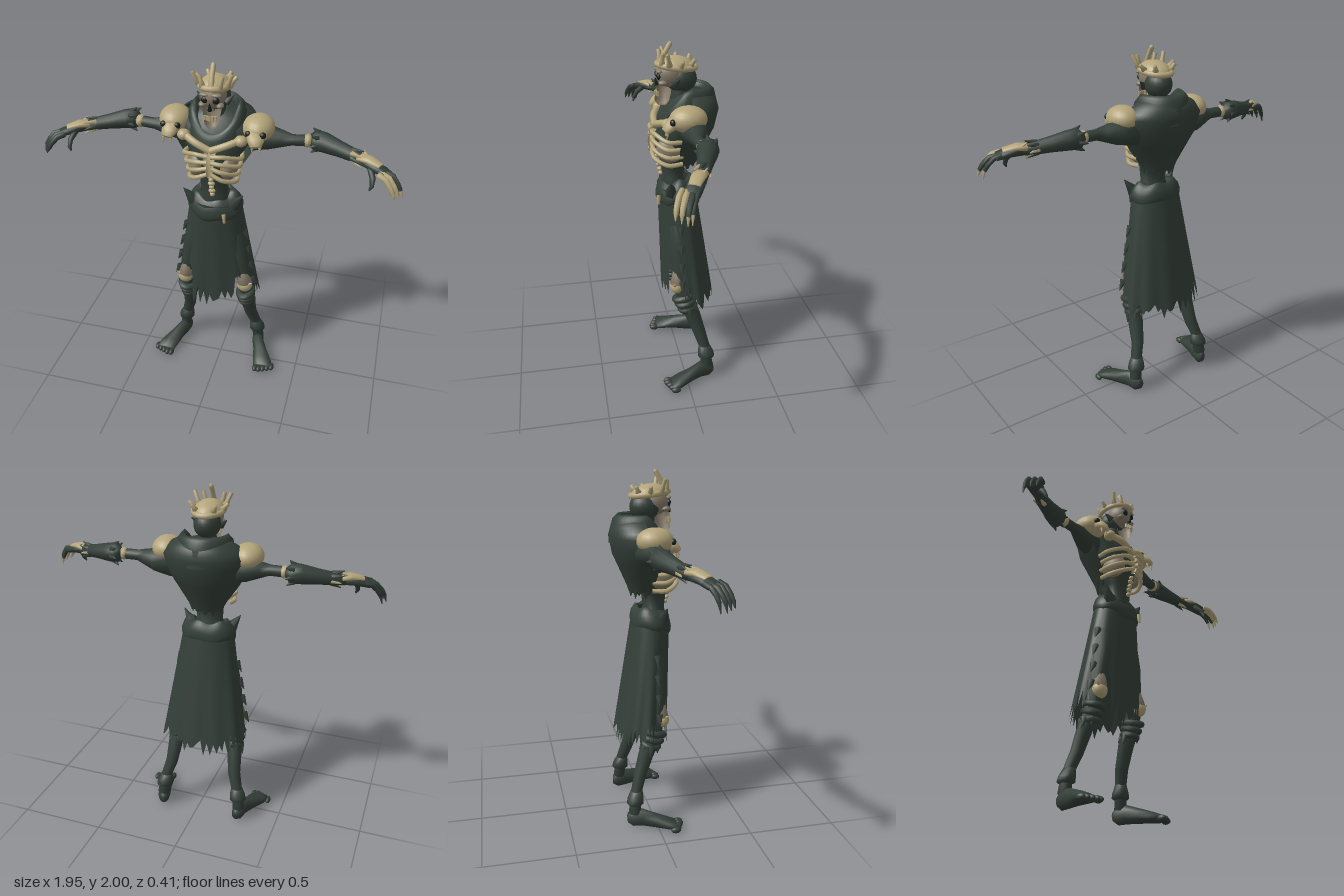
import * as THREE from 'three';
import { mergeVertices } from 'three/addons/utils/BufferGeometryUtils.js';

const mat = (name, color, side = THREE.FrontSide) => {
  const m = new THREE.MeshStandardMaterial({ color, side });
  m.name = name;
  return m;
};
const V = (x, y, z) => new THREE.Vector3(x, y, z);

export function createModel() {
  const cloth = mat('dark cloth', 0x343f38, THREE.DoubleSide);
  const bone = mat('bone', 0xb3a47a);
  const skullGrey = mat('grey bone', 0x867b69);
  const black = mat('socket black', 0x1a201c);

  const model = new THREE.Group();
  const body = new THREE.Group();
  body.name = 'body';
  body.position.x = -0.025;
  model.add(body);

  let seed = 7;
  const rnd = () => (seed = (seed * 16807) % 2147483647) / 2147483647;

  const add = (parent, name, geo, material) => {
    const m = new THREE.Mesh(geo, material);
    m.name = name;
    parent.add(m);
    return m;
  };
  const build = (pos, idx) => {
    let g = new THREE.BufferGeometry();
    g.setAttribute('position', new THREE.Float32BufferAttribute(pos, 3));
    g.setIndex(idx);
    g = mergeVertices(g, 1e-4);
    g.computeVertexNormals();
    return g;
  };
  // Tapered body through sections [x, y, z, r1, r2]; axis fixes the ring direction
  const limb = (parent, name, pts, material, axis = null, n = 12) => {
    const c = pts.map(p => V(p[0], p[1], p[2]));
    const whole = c[c.length - 1].clone().sub(c[0]).normalize();
    const ref = Math.abs(whole.z) > 0.75 ? V(0, 1, 0) : V(0, 0, 1);
    const pos = [], idx = [];
    c.forEach((p, i) => {
      const t = axis ? axis.clone()
        : c[Math.min(i + 1, c.length - 1)].clone().sub(c[Math.max(i - 1, 0)]).normalize();
      const side = ref.clone().cross(t).normalize(), up = t.clone().cross(side);
      const [r1, r2 = r1] = pts[i].slice(3);
      for (let j = 0; j < n; j++) {
        const a = j / n * Math.PI * 2;
        const q = p.clone().addScaledVector(side, r1 * Math.cos(a)).addScaledVector(up, r2 * Math.sin(a));
        pos.push(q.x, q.y, q.z);
        const k = i * n + j, k1 = i * n + (j + 1) % n;
        if (i < c.length - 1) idx.push(k, k1, k + n, k1, k1 + n, k + n);
      }
    });
    const s = pos.length / 3, last = (c.length - 1) * n;
    pos.push(...c[0].toArray(), ...c[c.length - 1].toArray());
    for (let j = 0; j < n; j++) {
      const j1 = (j + 1) % n;
      idx.push(s, j1, j, s + 1, last + j, last + j1);
    }
    return add(parent, name, build(pos, idx), material);
  };
  const spike = (parent, name, a, b, r, material) =>
    limb(parent, name, [[...a, r], [...b, 0.002]], material, null, 6);
  const ball = (parent, name, p, r, material) => {
    const m = add(parent, name, new THREE.SphereGeometry(1, 20, 14), material);
    m.position.set(...p);
    m.scale.set(...r);
    return m;
  };
  const tube = (parent, name, pts, r, material) => add(parent, name,
    new THREE.TubeGeometry(new THREE.CatmullRomCurve3(pts.map(p => V(...p))), 14, r, 8), material);
  // Cloth sheet from a rule f(u, v)
  const sheet = (parent, name, nu, nv, f) => {
    const pos = [], idx = [];
    for (let i = 0; i <= nv; i++) for (let j = 0; j <= nu; j++) {
      pos.push(...f(j / nu, i / nv));
      const k = i * (nu + 1) + j;
      if (i < nv && j < nu) idx.push(k, k + nu + 1, k + 1, k + 1, k + nu + 1, k + nu + 2);
    }
    return add(parent, name, build(pos, idx), cloth);
  };
  const lerpRows = (rows, v) => {
    const x = v * (rows.length - 1), i = Math.min(Math.floor(x), rows.length - 2);
    return rows[i].map((a, k) => a + (rows[i + 1][k] - a) * (x - i));
  };
  const up = V(0, 1, 0);

  // Torso and neck
  limb(body, 'torso', [[0, 1.12, 0.02, 0.12, 0.09], [0, 1.25, 0.035, 0.075, 0.06], [0, 1.33, 0.035, 0.08, 0.07],
    [0, 1.42, 0.025, 0.125, 0.105], [0, 1.5, 0, 0.15, 0.13], [0, 1.58, -0.03, 0.2, 0.14],
    [0, 1.65, -0.05, 0.22, 0.13], [0, 1.7, -0.07, 0.16, 0.11], [0, 1.74, -0.07, 0.08, 0.06]], cloth, up, 24);
  limb(body, 'neck', [[0, 1.6, -0.01, 0.06], [0, 1.8, -0.01, 0.045]], cloth, up);

  // Cape over the back: rows of [y, half width, back z, side z]
  const capeRows = [[1.76, 0.1, -0.15, -0.06], [1.71, 0.19, -0.2, -0.05], [1.65, 0.24, -0.215, -0.03], [1.55, 0.225, -0.195, 0],
    [1.45, 0.165, -0.15, 0.01], [1.37, 0.11, -0.115, 0], [1.32, 0.085, -0.1, -0.01]];
  const capeHem = Array.from({ length: 25 }, () => rnd() * 0.05);
  sheet(body, 'cape', 24, 12, (u, v) => {
    const [y, w, zb, zs] = lerpRows(capeRows, v), a = (u - 0.5) * Math.PI * 1.05;
    return [-w * Math.sin(a), y + (v === 1 ? capeHem[Math.round(u * 24)] - 0.02 : 0), zs + (zb - zs) * Math.cos(a)];
  });

  // Cowl: rows of [radius, height]
  const cowlRows = [[0.085, -0.1], [0.1, -0.01], [0.122, 0.025], [0.145, 0.0], [0.16, -0.07], [0.165, -0.13]];
  sheet(body, 'cowl', 36, 10, (u, v) => {
    const a = u * Math.PI * 2 - Math.PI, [r, h] = lerpRows(cowlRows, v), f = Math.max(0, Math.cos(a));
    return [r * Math.sin(a), 1.745 - 0.13 * f ** 1.4 + h * (1 - 0.4 * f), -0.03 + r * Math.cos(a) * (f > 0 ? 0.95 : 1.12)];
  });

  // Head
  ball(body, 'backOfHead', [0, 1.805, -0.015], [0.073, 0.075, 0.085], cloth);
  ball(body, 'skull', [0, 1.835, 0.045], [0.068, 0.075, 0.078], skullGrey);
  limb(body, 'jaw', [[0, 1.8, 0.075, 0.056, 0.045], [0, 1.74, 0.083, 0.046, 0.045],
    [0, 1.69, 0.09, 0.036, 0.04], [0, 1.668, 0.09, 0.02, 0.025]], skullGrey, up);
  spike(body, 'nose', [0, 1.775, 0.118], [0, 1.815, 0.126], 0.013, black);
  for (let i = -2; i <= 2; i++) {
    add(body, 'tooth', new THREE.BoxGeometry(0.011, 0.024, 0.01), bone)
      .position.set(i * 0.014, 1.733, 0.127 - Math.abs(i) * 0.005);
  }
  for (const s of [-1, 1]) {
    ball(body, 'eyeSocket', [s * 0.029, 1.828, 0.112], [0.019, 0.018, 0.012], black);
    ball(body, 'cheekbone', [s * 0.047, 1.795, 0.092], [0.02, 0.014, 0.024], skullGrey);
    ball(body, 'brow', [s * 0.03, 1.855, 0.108], [0.028, 0.01, 0.016], skullGrey);
    spike(body, 'ear', [s * 0.06, 1.79, 0.03], [s * 0.1, 1.825, 0.01], 0.022, cloth);
  }

  // Bone crown
  const cap = add(body, 'crownCap', new THREE.SphereGeometry(1, 24, 10, 0, Math.PI * 2, 0, Math.PI / 2), bone);
  cap.position.set(0, 1.865, 0.012);
  cap.scale.set(0.082, 0.062, 0.105);
  cap.rotation.x = -0.12;
  const band = add(body, 'crownBand', new THREE.TorusGeometry(1, 0.16, 8, 28), bone);
  band.position.set(0, 1.875, 0.012);
  band.scale.set(0.082, 0.103, 0.1);
  band.rotation.x = Math.PI / 2 - 0.12;
  limb(body, 'crownPeak', [[0, 1.88, 0.1, 0.02], [0, 1.94, 0.075, 0.013], [0, 1.99, 0.045, 0.014], [0, 2, 0.04, 0.008]], bone);
  for (const s of [-1, 1]) {
    for (const [x, y, z, tx, ty, tz] of [[0.045, 1.89, 0.095, 0.06, 1.95, 0.095], [0.075, 1.89, 0.06, 0.103, 1.955, 0.075],
      [0.08, 1.885, 0, 0.11, 1.915, -0.005], [0.05, 1.885, -0.06, 0.065, 1.915, -0.075]]) {
      limb(body, 'crownProng', [[s * x, y, z, 0.018], [s * (x + tx) / 2, (y + ty) / 2, (z + tz) / 2, 0.011],
        [s * tx, ty, tz, 0.011]], bone, null, 8);
    }
  }

  // Ribcage
  limb(body, 'sternum', [[0, 1.565, 0.115, 0.035, 0.012], [0, 1.52, 0.147, 0.032, 0.016], [0, 1.46, 0.157, 0.025, 0.016],
    [0, 1.4, 0.145, 0.012, 0.012]], bone, up);
  for (const s of [-1, 1]) {
    ball(body, 'flank', [s * 0.085, 1.435, 0.06], [0.052, 0.075, 0.08], skullGrey);
    tube(body, 'collarBone', [[0, 1.55, 0.13], [s * 0.08, 1.585, 0.125], [s * 0.17, 1.615, 0.075]], 0.02, bone);
    ball(body, 'collarKnob', [s * 0.155, 1.605, 0.085], [0.035, 0.03, 0.035], bone);
    for (let i = 0; i < 4; i++) {
      const y = 1.525 - i * 0.035, w = 0.155 - i * 0.008;
      tube(body, 'rib', [[s * 0.01, y, 0.152], [s * 0.075, y + 0.005 - i * 0.012, 0.148],
        [s * w, y - 0.025 - i * 0.012, 0.08], [s * (w - 0.01), y - 0.03 - i * 0.01, 0]], 0.0125, bone);
    }
  }
  for (let i = 0; i < 5; i++) {
    ball(body, 'hangingBead', [0.005, 1.375 - i * 0.026, 0.128 - i * 0.006], [0.014 + (i % 2) * 0.006, 0.013, 0.014], bone);
  }

  // Shoulder skulls
  for (const s of [-1, 1]) {
    ball(body, 'shoulderSkull', [s * 0.228, 1.65, -0.01], [0.086, 0.07, 0.1], bone);
    limb(body, 'skullSnout', [[s * 0.225, 1.645, 0.05, 0.055, 0.04], [s * 0.235, 1.615, 0.095, 0.042, 0.028],
      [s * 0.24, 1.595, 0.115, 0.03, 0.018]], bone);
    for (const k of [-1, 1]) {
      ball(body, 'skullSocket', [s * 0.23 + k * 0.037, 1.648, 0.077], [0.019, 0.018, 0.016], black);
      spike(body, 'skullFang', [s * 0.24 + k * 0.02, 1.59, 0.105], [s * 0.24 + k * 0.022, 1.56, 0.108], 0.009, bone);
    }
  }

  // Arms and hands
  for (const s of [-1, 1]) {
    const arm = new THREE.Group();
    arm.name = s > 0 ? 'leftArm' : 'rightArm';
    model.add(arm);
    const side = pts => pts.map(([x, ...r]) => [s * x, ...r]);
    limb(arm, 'upperArm', side([[0.16, 1.58, -0.04, 0.08], [0.26, 1.585, -0.04, 0.065], [0.33, 1.59, -0.03, 0.045],
      [0.38, 1.592, -0.025, 0.03], [0.49, 1.595, -0.035, 0.03]]), cloth);
    limb(arm, 'elbowBone', side([[0.44, 1.595, -0.03, 0.026], [0.46, 1.595, -0.032, 0.036], [0.48, 1.595, -0.035, 0.03]]), bone);
    limb(arm, 'forearm', side([[0.475, 1.598, -0.04, 0.032], [0.5, 1.597, -0.045, 0.056], [0.55, 1.594, -0.035, 0.053],
      [0.63, 1.582, -0.008, 0.042], [0.71, 1.57, 0.02, 0.035], [0.78, 1.56, 0.055, 0.027]]), cloth);
    for (let i = 0; i < 7; i++) {
      const a = i / 7 * Math.PI * 2, c = Math.cos(a), d = Math.sin(a);
      spike(arm, 'sleeveTatter', [s * 0.515, 1.597 + 0.043 * c, -0.043 + 0.043 * d],
        [s * (0.475 + rnd() * 0.015), 1.597 + 0.068 * c, -0.045 + 0.066 * d], 0.018, cloth);
      spike(arm, 'cuffTatter', [s * 0.7, 1.572 + 0.025 * c, 0.017 + 0.025 * d],
        [s * (0.745 + rnd() * 0.02), 1.565 + 0.045 * c, 0.04 + 0.045 * d], 0.016, i % 2 ? bone : cloth);
    }
    limb(arm, 'palm', side([[0.76, 1.562, 0.045, 0.027, 0.03], [0.82, 1.555, 0.078, 0.026, 0.042],
      [0.88, 1.535, 0.108, 0.02, 0.04]]), cloth);
    limb(arm, 'handBone', side([[0.74, 1.575, 0.035, 0.02, 0.035], [0.79, 1.578, 0.062, 0.02, 0.036],
      [0.85, 1.565, 0.092, 0.012, 0.028]]), bone);
    spike(arm, 'wristSpur', [s * 0.78, 1.575, 0.045], [s * 0.755, 1.605, 0.01], 0.016, bone);
    for (let i = 0; i < 4; i++) {
      const z = 0.07 + i * 0.024, e = 0.975 - Math.abs(i - 1) * 0.018, m = [s * (e - 0.03), 1.5, z + 0.038];
      limb(arm, 'finger', [[s * (0.862 - i * 0.006), 1.545, z, 0.016], [s * (e - 0.058), 1.532, z + 0.022, 0.015], [...m, 0.013],
        [s * (e - 0.012), 1.47, z + 0.046, 0.011]], s > 0 && i > 1 ? bone : cloth, null, 8);
      spike(arm, 'claw', [s * (e - 0.014), 1.475, z + 0.045], [s * e, 1.425 + i * 0.006, z + 0.05], 0.011, s > 0 ? bone : cloth);
    }
    limb(arm, 'thumb', side([[0.8, 1.55, 0.09, 0.017], [0.82, 1.51, 0.13, 0.015], [0.82, 1.475, 0.15, 0.011],
      [0.81, 1.455, 0.155, 0.004]]), cloth, null, 8);
  }

  // Skirt with a ragged hem, open above the knees
  const N = 80, hem = Array.from({ length: N + 1 }, (_, j) => {
    const a = Math.abs(j / N * 2 - 1) * Math.PI;
    const base = a < 0.55 ? 0.5 : a < 1.2 ? 0.72 : a < 1.7 ? 0.55 : 0.5;
    return base + (j % 2 ? 0.06 : 0) + (rnd() - 0.6) * 0.1;
  });
  hem[N] = hem[0];
  sheet(body, 'skirt', N, 14, (u, v) => {
    const a = (u * 2 - 1) * Math.PI, y = 1.2 + (hem[Math.round(u * N)] - 1.2) * v, t = (1.2 - y) / 0.65;
    const zf = 0.122 - 0.018 * t, zb = -0.09 - 0.098 * t, k = 1 + 0.025 * t * Math.sin(a * 11);
    return [(0.145 + 0.105 * t) * Math.sin(a) * k, y, (zf + zb) / 2 + (zf - zb) / 2 * Math.cos(a) * k];
  });
  // Rolled sash: rows of [y, half width, half depth]
  const sashRows = [[1.25, 0.085, 0.07], [1.255, 0.115, 0.085], [1.22, 0.145, 0.108], [1.18, 0.16, 0.116], [1.15, 0.157, 0.113], [1.13, 0.14, 0.1]];
  sheet(body, 'sash', 40, 10, (u, v) => {
    const a = (u * 2 - 1) * Math.PI, [y, w, d] = lerpRows(sashRows, v);
    return [w * Math.sin(a), y - 0.035 * Math.max(0, Math.cos(a)) + 0.008 * Math.sin(a * 5), 0.017 + d * Math.cos(a)];
  });
  for (const s of [-1, 1]) {
    spike(body, 'sashFlap', [s * 0.115, 1.19, 0.06], [s * 0.17, 1.268, 0.075], 0.04, cloth);
    for (let i = 0; i < 4; i++) {
      const y = 1 - i * 0.11, x = 0.17 + i * 0.018;
      spike(body, 'skirtTatter', [s * x, y, 0.02], [s * (x + 0.03), y - 0.06, 0.02], 0.022, cloth);
    }
  }
  limb(body, 'sashCharm', [[0.075, 1.16, 0.128, 0.012], [0.08, 1.11, 0.13, 0.008]], bone, null, 8);

  // Legs and feet
  for (const s of [-1, 1]) {
    const leg = new THREE.Group();
    leg.name = s > 0 ? 'leftLeg' : 'rightLeg';
    body.add(leg);
    const side = pts => pts.map(([x, ...r]) => [s * x, ...r]);
    limb(leg, 'legShaft', side([[0.08, 1.1, 0.01, 0.07], [0.14, 0.85, 0.02, 0.06], [0.183, 0.62, 0.015, 0.043],
      [0.183, 0.5, -0.015, 0.046], [0.19, 0.42, -0.05, 0.044], [0.203, 0.3, -0.088, 0.037],
      [0.235, 0.19, -0.12, 0.031], [0.247, 0.08, -0.128, 0.036]]), cloth);
    limb(leg, 'thighBone', side([[0.17, 0.72, 0.035, 0.03], [0.183, 0.64, 0.038, 0.046]]), skullGrey);
    ball(leg, 'kneeCap', [s * 0.185, 0.625, 0.045], [0.046, 0.045, 0.04], bone);
    spike(leg, 'kneeSpur', [s * 0.195, 0.63, 0.05], [s * 0.235, 0.66, 0.07], 0.022, bone);
    for (let i = 0; i < 3; i++) {
      const wrap = add(leg, 'kneeWrap', new THREE.TorusGeometry(0.04, 0.02, 8, 18), cloth);
      wrap.position.set(s * 0.183, 0.545 - i * 0.036, 0.005 - i * 0.012);
      wrap.scale.set(1 - i * 0.06, 1.2 - i * 0.08, 1);
      wrap.rotation.set(Math.PI / 2 + 0.25, s * (0.15 - i * 0.15), 0);
    }
    for (let i = 0; i < 6; i++) {
      const a = i / 6 * Math.PI * 2, c = Math.cos(a), d = Math.sin(a);
      spike(leg, 'wrapTatter', [s * 0.185 + 0.035 * c, 0.475, -0.022 + 0.04 * d],
        [s * 0.187 + 0.05 * c, 0.415 + rnd() * 0.03, -0.035 + 0.055 * d], 0.022, cloth);
    }
    limb(leg, 'ankleCuff', side([[0.228, 0.215, -0.113, 0.034], [0.237, 0.17, -0.122, 0.047], [0.24, 0.145, -0.124, 0.05],
      [0.243, 0.135, -0.126, 0.034]]), cloth, up);
    limb(leg, 'foot', side([[0.24, 0.05, -0.168, 0.022, 0.03], [0.246, 0.05, -0.14, 0.036, 0.05],
      [0.255, 0.055, -0.09, 0.038, 0.053], [0.285, 0.044, -0.02, 0.045, 0.042], [0.312, 0.032, 0.05, 0.06, 0.031],
      [0.325, 0.022, 0.1, 0.058, 0.021]]), cloth, V(0, 0, 1));
    for (let i = 0; i < 5; i++) {
      ball(leg, 'toe', [s * (0.28 + i * 0.025), 0.018, 0.118 - Math.max(0, i - 1) * 0.011], [0.016, 0.018, 0.028], cloth);
    }
  }
  return model;
}
